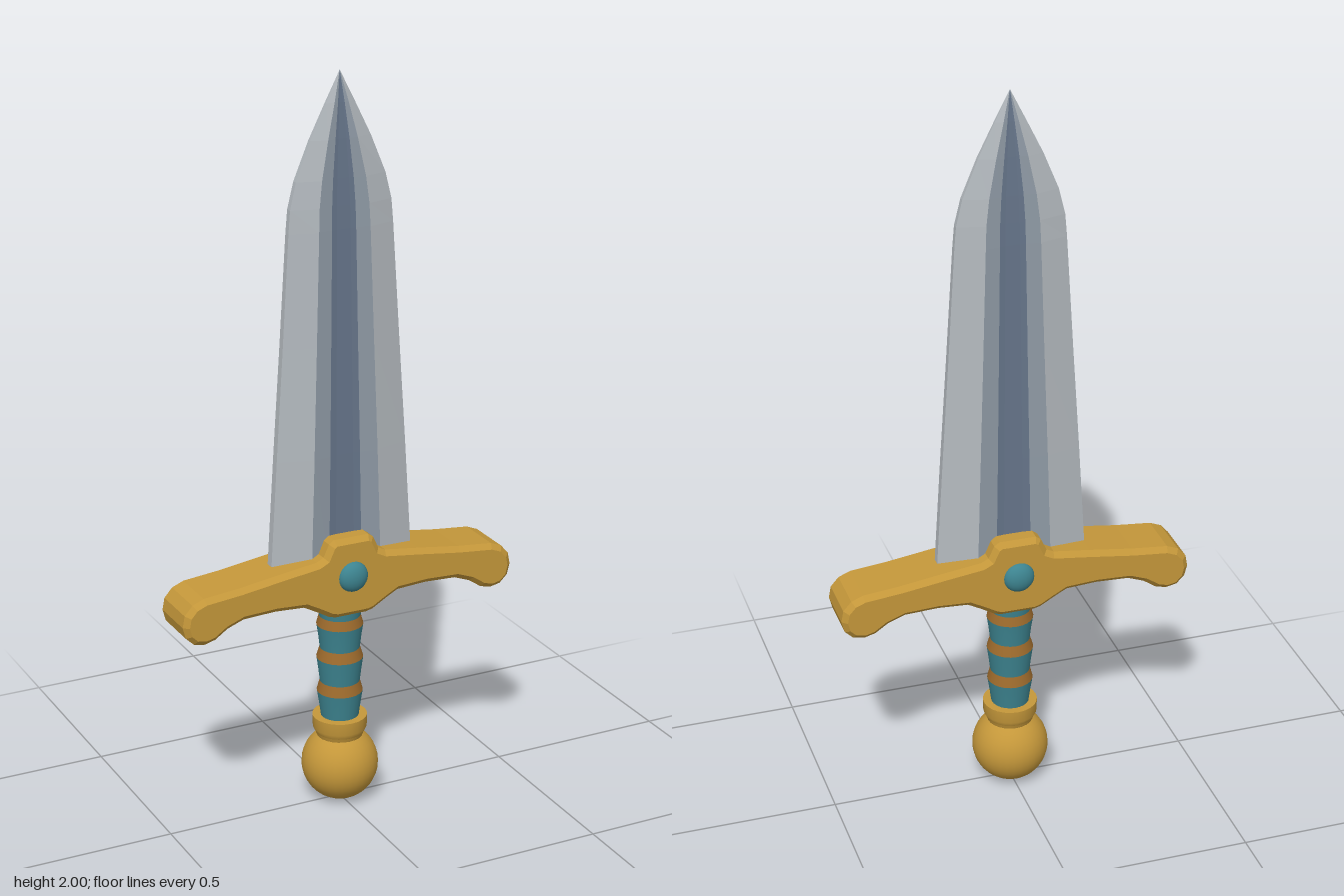
import * as THREE from 'three';

const mat = (name, color, flat = false) => {
  const m = new THREE.MeshStandardMaterial({ color, flatShading: flat });
  m.name = name;
  return m;
};

export function createModel() {
  const gold = mat('gold', 0xc4973a);
  const guardGold = mat('guard gold', 0xc4973a, true);
  const bronze = mat('bronze', 0x9c6a2c);
  const teal = mat('teal', 0x3d8490);
  const steel = mat('steel', 0xb4babf, true);
  const midSteel = mat('shaded steel', 0x8f9aa5, true);
  const darkSteel = mat('fuller steel', 0x66758a, true);

  const group = new THREE.Group();
  const add = (name, geometry, material) => {
    const mesh = new THREE.Mesh(geometry, material);
    mesh.name = name;
    group.add(mesh);
    return mesh;
  };

  // Blade: rows of [height, half width, half thickness]
  const rows = [
    [0.68, 0.206, 0.04], [1.0, 0.186, 0.038], [1.3, 0.166, 0.034], [1.6, 0.147, 0.03],
    [1.66, 0.142, 0.028], [1.73, 0.125, 0.025], [1.83, 0.084, 0.019], [1.92, 0.04, 0.011], [2, 0, 0],
  ];
  // Half of one face as [x, z] fractions, from cutting edge to fuller
  const side = [[1, 0.3], [0.49, 1], [0.23, 0.84], [0.13, 0.78]];
  const face = [...side, ...side.map(([x, z]) => [-x, z]).reverse()];
  const ring = [...face, ...face.map(([x, z]) => [-x, -z])];
  const bladeStrip = (columns) => {
    const pos = [];
    const point = ([y, w, t], k) => [ring[k % 16][0] * w, y, ring[k % 16][1] * t];
    for (const k of columns) {
      for (let i = 0; i < rows.length - 1; i++) {
        const a = point(rows[i], k), b = point(rows[i], k + 1);
        const c = point(rows[i + 1], k + 1), d = point(rows[i + 1], k);
        pos.push(...a, ...c, ...b);
        if (i < rows.length - 2) pos.push(...a, ...d, ...c);
      }
    }
    const g = new THREE.BufferGeometry();
    g.setAttribute('position', new THREE.Float32BufferAttribute(pos, 3));
    g.computeVertexNormals();
    return g;
  };
  add('bladeEdges', bladeStrip([0, 6, 7, 8, 14, 15]), steel);
  add('bladeSlopes', bladeStrip([1, 5, 9, 13]), midSteel);
  add('bladeFuller', bladeStrip([2, 3, 4, 10, 11, 12]), darkSteel);

  // Crossguard: mirrored outline, extruded with a chamfer
  const half = [
    [0.05, 0.782], [0.064, 0.772], [0.08, 0.738], [0.1, 0.728], [0.2, 0.715], [0.32, 0.698],
    [0.42, 0.688], [0.452, 0.675], [0.474, 0.65], [0.48, 0.618], [0.472, 0.587], [0.45, 0.566],
    [0.42, 0.56], [0.39, 0.568], [0.355, 0.592], [0.31, 0.609], [0.22, 0.613], [0.137, 0.608],
    [0.1, 0.588], [0.064, 0.567], [0.045, 0.562],
  ];
  const outline = [...half, ...half.map(([x, y]) => [-x, y]).reverse()];
  const bevel = 0.014;
  const guard = new THREE.ExtrudeGeometry(
    new THREE.Shape(outline.map(([x, y]) => new THREE.Vector2(x, y))),
    { depth: 0.16 - 2 * bevel, bevelSize: bevel, bevelThickness: bevel, bevelOffset: -bevel, bevelSegments: 1 },
  );
  guard.translate(0, 0, bevel - 0.08);
  add('crossguard', guard, guardGold);

  // Gem on each face of the guard
  for (const s of [1, -1]) {
    const gem = add(s > 0 ? 'frontGem' : 'backGem', new THREE.SphereGeometry(0.042, 20, 14), teal);
    gem.scale.z = 0.62;
    gem.position.set(0, 0.675, s * 0.078);
  }

  // Grip: swelling wrapped sections separated by bronze bands
  const lathe = (points) => new THREE.LatheGeometry(points.map(([r, y]) => new THREE.Vector2(r, y)), 24);
  const sections = [
    [[0.05, 0.235], [0.056, 0.28], [0.062, 0.318]],
    [[0.054, 0.347], [0.058, 0.38], [0.063, 0.416]],
    [[0.054, 0.445], [0.058, 0.48], [0.063, 0.512]],
    [[0.056, 0.538], [0.06, 0.575], [0.06, 0.59]],
  ];
  sections.forEach((points, i) => {
    add('gripSection' + (i + 1), lathe(points), teal);
    if (i < 3) add('gripBand' + (i + 1), lathe([points[2], sections[i + 1][0]]), bronze);
  });

  // Collar and pommel
  add('collar', lathe([[0.06, 0.18], [0.066, 0.198]]), gold);
  add('collarSide', lathe([[0.066, 0.198], [0.073, 0.212], [0.074, 0.246]]), gold);
  add('collarTop', lathe([[0.074, 0.246], [0.04, 0.246]]), gold);
  add('pommel', new THREE.SphereGeometry(0.104, 32, 20), gold).position.y = 0.104;

  return group;
}
